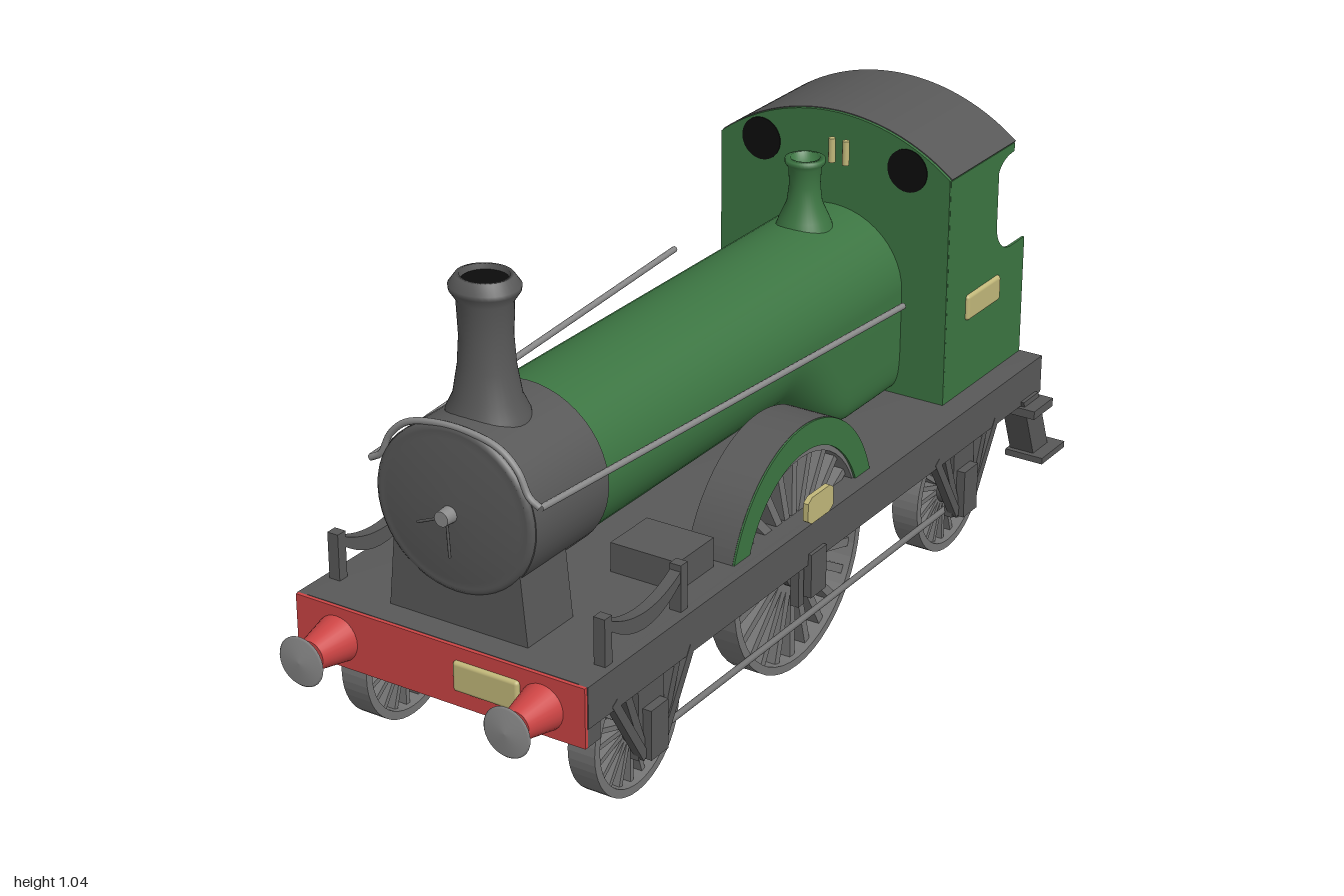
import * as THREE from 'three';
import { ParametricGeometry } from 'three/addons/geometries/ParametricGeometry.js';
import { RoundedBoxGeometry } from 'three/addons/geometries/RoundedBoxGeometry.js';

const mat = (name, color, side = THREE.FrontSide) => {
  const m = new THREE.MeshStandardMaterial({ color, side });
  m.name = name;
  return m;
};

export function createModel() {
  const green = mat('livery green', 0x3c7542, THREE.DoubleSide), grey = mat('dark grey', 0x585858);
  const steel = mat('steel grey', 0x8a8a8a), wheelGrey = mat('wheel grey', 0x767676);
  const red = mat('beam red', 0xcc4444), brass = mat('brass', 0xc2b87a), black = mat('black', 0x0c0c0c);
  const model = new THREE.Group();

  const add = (name, geo, material, x = 0, y = 0, z = 0, parent = model) => {
    const m = new THREE.Mesh(geo, material);
    m.name = name;
    m.position.set(x, y, z);
    parent.add(m);
    return m;
  };
  // box from its limits
  const box = (name, material, x0, x1, y0, y1, z0, z1) => add(name,
    new THREE.BoxGeometry(Math.abs(x1 - x0), y1 - y0, Math.abs(z1 - z0)), material,
    (x0 + x1) / 2, (y0 + y1) / 2, (z0 + z1) / 2);
  const cylZ = (r0, r1, len, n = 32) => new THREE.CylinderGeometry(r1, r0, len, n).rotateX(Math.PI / 2);
  const cylX = (r, len, n = 24) => new THREE.CylinderGeometry(r, r, len, n).rotateZ(Math.PI / 2);
  const lathe = (pts, n = 36) => new THREE.LatheGeometry(pts.map(p => new THREE.Vector2(...p)), n);
  const extrude = (shape, depth) => new THREE.ExtrudeGeometry(shape, { depth, bevelEnabled: false, curveSegments: 24 })
    .translate(0, 0, -depth / 2);
  // side profile drawn as (z, y), given a width across x
  const extrudeX = (shape, width) => extrude(shape, width).rotateY(-Math.PI / 2);
  const poly = pts => new THREE.Shape(pts.map(p => new THREE.Vector2(...p)));
  const rod = (name, a, b, r, material) => {
    const path = new THREE.LineCurve3(new THREE.Vector3(...a), new THREE.Vector3(...b));
    return add(name, new THREE.TubeGeometry(path, 1, r, 8), material);
  };
  // flat bar between two (z, y) points
  const bar = (name, x, [z0, y0], [z1, y1], w, thick) => {
    const m = add(name, new THREE.BoxGeometry(thick, Math.hypot(z1 - z0, y1 - y0), w), grey, x, (y0 + y1) / 2, (z0 + z1) / 2);
    m.rotation.x = Math.atan2(z1 - z0, y1 - y0);
  };

  // frame and running plate
  box('runningPlate', grey, -0.345, 0.345, 0.31, 0.35, -0.94, 0.87);
  box('rearBeam', grey, -0.345, 0.345, 0.26, 0.35, -0.94, -0.9);
  box('frontBeam', grey, -0.345, 0.345, 0.22, 0.349, 0.83, 0.872);
  box('bufferBeamFace', red, -0.345, 0.345, 0.22, 0.35, 0.872, 0.88);
  add('frontPlate', new RoundedBoxGeometry(0.155, 0.066, 0.018, 2, 0.008), brass, 0.118, 0.288, 0.88);
  box('underPlate', grey, -0.21, 0.21, 0.15, 0.31, 0.49, 0.52);
  box('underPlateFace', green, -0.21, 0.21, 0.15, 0.31, 0.52, 0.525);

  // boiler, smokebox and door, slightly wider than tall
  const cy = 0.597, rx = 0.179, ry = 0.168;
  add('boiler', cylZ(ry, ry, 1.2, 48).scale(rx / ry, 1, 1), green, 0, cy, -0.03);
  add('smokebox', cylZ(0.177, 0.177, 0.24, 48).scale(1.06, 1, 1), grey, 0, 0.6, 0.685);
  add('smokeboxDoor', lathe([[0.177, 0], [0.175, 0.008], [0.168, 0.014], [0.163, 0.011], [0.15, 0.014], [0.08, 0.022], [0, 0.024]], 48)
    .rotateX(Math.PI / 2).scale(1.05, 1, 1), grey, 0, 0.6, 0.803);
  add('doorBoss', cylZ(0.018, 0.016, 0.03, 20), steel, 0, cy, 0.838);
  rod('doorHandle', [0, cy, 0.842], [-0.065, 0.57, 0.842], 0.003, grey);
  rod('doorHandle', [0, cy, 0.836], [0.005, 0.51, 0.836], 0.003, grey);
  add('saddle', extrude(poly([[-0.165, 0.35], [0.165, 0.35], [0.15, 0.5], [-0.15, 0.5]]), 0.15), grey, 0, 0, 0.735);

  // firebox: the round lower half of the boiler swells into a deep square one
  add('firebox', new ParametricGeometry((u, v, p) => {
    const t = THREE.MathUtils.smoothstep(v, 0, 0.5), k = 1 - 0.75 * t;
    const c = Math.cos(u * Math.PI), s = Math.sin(u * Math.PI);
    p.set(rx * Math.sign(c) * Math.abs(c) ** k, cy - (ry + t * (cy - 0.35 - ry)) * Math.abs(s) ** k, -0.14 - 0.49 * v);
  }, 40, 24), green);
  const backhead = new THREE.Shape();
  backhead.moveTo(-rx, 0.35);
  backhead.lineTo(rx, 0.35);
  backhead.absellipse(0, cy, rx, ry, 0, Math.PI, false);
  add('backhead', extrude(backhead, 0.008), green, 0, 0, -0.631);

  // chimney and safety valve
  add('chimney', lathe([[0.088, 0.735], [0.08, 0.77], [0.066, 0.8], [0.056, 0.86], [0.052, 0.92], [0.055, 0.995], [0.068, 1.015],
    [0.069, 1.025], [0.055, 1.045], [0.047, 1.045], [0.045, 1.0]]).scale(1.05, 1, 0.97), grey, 0, 0, 0.695);
  add('chimneyBore', new THREE.CylinderGeometry(0.046, 0.046, 0.01, 32), black, 0, 1.03, 0.695);
  add('safetyValve', lathe([[0.07, 0.735], [0.055, 0.775], [0.039, 0.81], [0.034, 0.85], [0.036, 0.89], [0.044, 0.9],
    [0.044, 0.91], [0.032, 0.912], [0.03, 0.89], [0, 0.89]]), green, 0, 0, -0.46);
  for (const x of [0.01, 0.045]) add('whistle', new THREE.CylinderGeometry(0.008, 0.008, 0.055, 10), brass, x, 0.9, -0.555);

  // handrail hoop over the smokebox
  const hoop = [[-0.2, 0.657], [-0.175, 0.672], [-0.15, 0.72], [-0.105, 0.757], [0, 0.774]];
  const hoopPts = [...hoop, ...hoop.slice(0, -1).reverse().map(([x, y]) => [-x, y])].map(([x, y]) => new THREE.Vector3(x, y, 0.808));
  add('frontHandrail', new THREE.TubeGeometry(new THREE.CatmullRomCurve3(hoopPts), 48, 0.007, 8), steel);

  // cab front and roof
  const R = 0.467, oy = 0.513, a = 0.672;
  const front = new THREE.Shape();
  front.moveTo(-0.29, 0.35);
  front.lineTo(0.29, 0.35);
  front.absarc(0, oy, R - 0.002, Math.PI / 2 - a, Math.PI / 2 + a, false);
  add('cabFront', extrude(front, 0.01), green, 0, 0, -0.585);
  const roof = new THREE.Shape();
  roof.absarc(0, oy, R, Math.PI / 2 - a, Math.PI / 2 + a, false);
  roof.absarc(0, oy, R - 0.008, Math.PI / 2 + a, Math.PI / 2 - a, true);
  add('cabRoof', extrude(roof, 0.286), grey, 0, 0, -0.731);

  const cabSide = new THREE.Shape();
  cabSide.moveTo(-0.585, 0.35);
  cabSide.lineTo(-0.585, 0.875);
  cabSide.lineTo(-0.872, 0.875);
  cabSide.lineTo(-0.872, 0.855);
  cabSide.quadraticCurveTo(-0.82, 0.855, -0.803, 0.825);
  cabSide.lineTo(-0.803, 0.69);
  cabSide.quadraticCurveTo(-0.815, 0.635, -0.87, 0.63);
  cabSide.lineTo(-0.937, 0.63);
  cabSide.lineTo(-0.937, 0.35);
  // dark lining inside the right cab sheet
  box('cabLining', black, -0.284, -0.28, 0.35, 0.865, -0.592, -0.8);

  // spoked wheel
  const wheel = (name, r, spokes, x, z) => {
    const g = new THREE.Group();
    g.name = name;
    g.position.set(x, r, z);
    const tyre = new THREE.Shape().absarc(0, 0, r, 0, Math.PI * 2, false);
    tyre.holes.push(new THREE.Path().absarc(0, 0, r - 0.018, 0, Math.PI * 2, true));
    add('tyre', extrudeX(tyre, 0.063), wheelGrey, 0, 0, 0, g);
    add('hub', cylX(r * 0.24, 0.07), grey, 0, 0, 0, g);
    for (let i = 0; i < spokes; i++) {
      const s = add('spoke', new THREE.BoxGeometry(0.035, r - 0.012, r * 0.075).translate(0, (r - 0.012) / 2, 0), wheelGrey, 0, 0, 0, g);
      s.rotation.x = i / spokes * Math.PI * 2;
    }
    model.add(g);
  };

  // splasher outline above the running plate
  const arch = (r0, r1) => {
    const s = new THREE.Shape(), b0 = Math.asin(0.1 / r0), b1 = Math.asin(0.1 / r1);
    s.absarc(0, 0, r1, b1, Math.PI - b1, false);
    s.absarc(0, 0, r0, Math.PI - b0, b0, true);
    return s;
  };
  const segment = new THREE.Shape().absarc(0, 0, 0.3, 0.34, Math.PI - 0.34, false);
  const splasher = (name, shape, width, material, x) =>
    add(name, extrudeX(shape, width).scale(1, 1, 0.93), material, x, 0.25, 0.045);

  const axles = [[0.65, 0.147, 0.017], [0.05, 0.25, 0.028], [-0.595, 0.147, 0.02]];
  for (const [z, y, r] of axles) add('axle', cylX(r, 0.64), wheelGrey, 0, y, z);

  for (const s of [1, -1]) {
    box('valance', grey, s * 0.325, s * 0.347, 0.26, 0.35, -0.94, 0.872);
    for (const [z, r] of axles) wheel(r > 0.2 ? 'drivingWheel' : 'carryingWheel', r, r > 0.2 ? 24 : 20, s * 0.276, z);

    // buffers
    add('bufferSocket', cylZ(0.05, 0.032, 0.085, 28), red, s * 0.245, 0.28, 0.922);
    add('bufferShaft', cylZ(0.018, 0.018, 0.028, 16), grey, s * 0.245, 0.28, 0.976);
    add('bufferHead', lathe([[0, -0.004], [0.05, 0], [0.054, 0.003], [0.05, 0.007], [0, 0.012]], 32).rotateX(Math.PI / 2),
      steel, s * 0.245, 0.28, 0.988);

    // splasher
    splasher('splasherCover', arch(0.288, 0.305), 0.108, grey, s * 0.256);
    splasher('splasherBack', segment, 0.01, grey, s * 0.206);
    splasher('splasherFace', arch(0.245, 0.304), 0.005, green, s * 0.3115);
    const oval = poly([[-0.05, -0.02], [-0.035, -0.03], [0.035, -0.03], [0.05, -0.02], [0.05, 0.02], [0.035, 0.03], [-0.035, 0.03], [-0.05, 0.02]]);
    add('splasherPlate', extrudeX(oval, 0.012), brass, s * 0.351, 0.39, 0.05);

    // axle guards with diagonal braces
    for (const z of [0.65, -0.595]) {
      box('axleBox', grey, s * 0.315, s * 0.36, 0.1, 0.21, z - 0.03, z + 0.03);
      box('axleGuard', grey, s * 0.32, s * 0.34, 0.1, 0.27, z - 0.045, z + 0.045);
      for (const d of [1, -1]) {
        bar('guardBrace', s * 0.338, [z + d * 0.135, 0.275], [z + d * 0.03, 0.105], 0.02, 0.02);
        bar('guardStay', s * 0.335, [z + d * 0.09, 0.275], [z + d * 0.035, 0.13], 0.02, 0.02);
      }
    }
    box('drivingAxleBox', grey, s * 0.315, s * 0.355, 0.185, 0.285, 0.02, 0.08);
    for (const d of [1, -1]) box('drivingGuard', grey, s * 0.32, s * 0.34, 0.17, 0.27, 0.05 + d * 0.035, 0.05 + d * 0.055);
    rod('brakeRod', [s * 0.315, 0.11, 0.62], [s * 0.315, 0.11, -0.57], 0.007, wheelGrey);

    // leaf spring over the leading wheel
    const leaf = new THREE.Shape();
    leaf.moveTo(-0.13, 0.425);
    leaf.quadraticCurveTo(0, 0.32, 0.13, 0.425);
    leaf.lineTo(0.13, 0.445);
    leaf.quadraticCurveTo(0, 0.37, -0.13, 0.445);
    add('leafSpring', extrudeX(leaf, 0.025), grey, s * 0.318, 0, 0.65);
    for (const z of [0.52, 0.78]) box('springHanger', grey, s * 0.305, s * 0.331, 0.35, 0.452, z - 0.012, z + 0.012);

    // toolbox, handrail side
    box('plateBox', grey, s * 0.12, s * 0.28, 0.35, 0.415, 0.335, 0.465);
    rod('sideHandrail', [s * 0.2, 0.657, 0.808], [s * 0.29, 0.657, -0.39], 0.007, steel);

    // cab side, plate and window
    add('cabSide', extrudeX(cabSide, 0.006), green, s * 0.287);
    add('cabPlate', new RoundedBoxGeometry(0.018, 0.06, 0.15, 2, 0.008), brass, s * 0.289, 0.55, -0.745);
    add('cabWindow', cylZ(0.049, 0.049, 0.014, 36), black, s * 0.185, 0.88, -0.585);

    // rear footstep
    add('stepHanger', extrudeX(poly([[-0.845, 0.27], [-0.915, 0.27], [-0.975, 0.115], [-0.905, 0.115]]), 0.06), grey, s * 0.325);
    box('lowerStep', grey, s * 0.29, s * 0.385, 0.105, 0.12, -1.0, -0.89);
    box('upperStep', grey, s * 0.29, s * 0.385, 0.237, 0.257, -0.93, -0.84);
  }
  return model;
}
